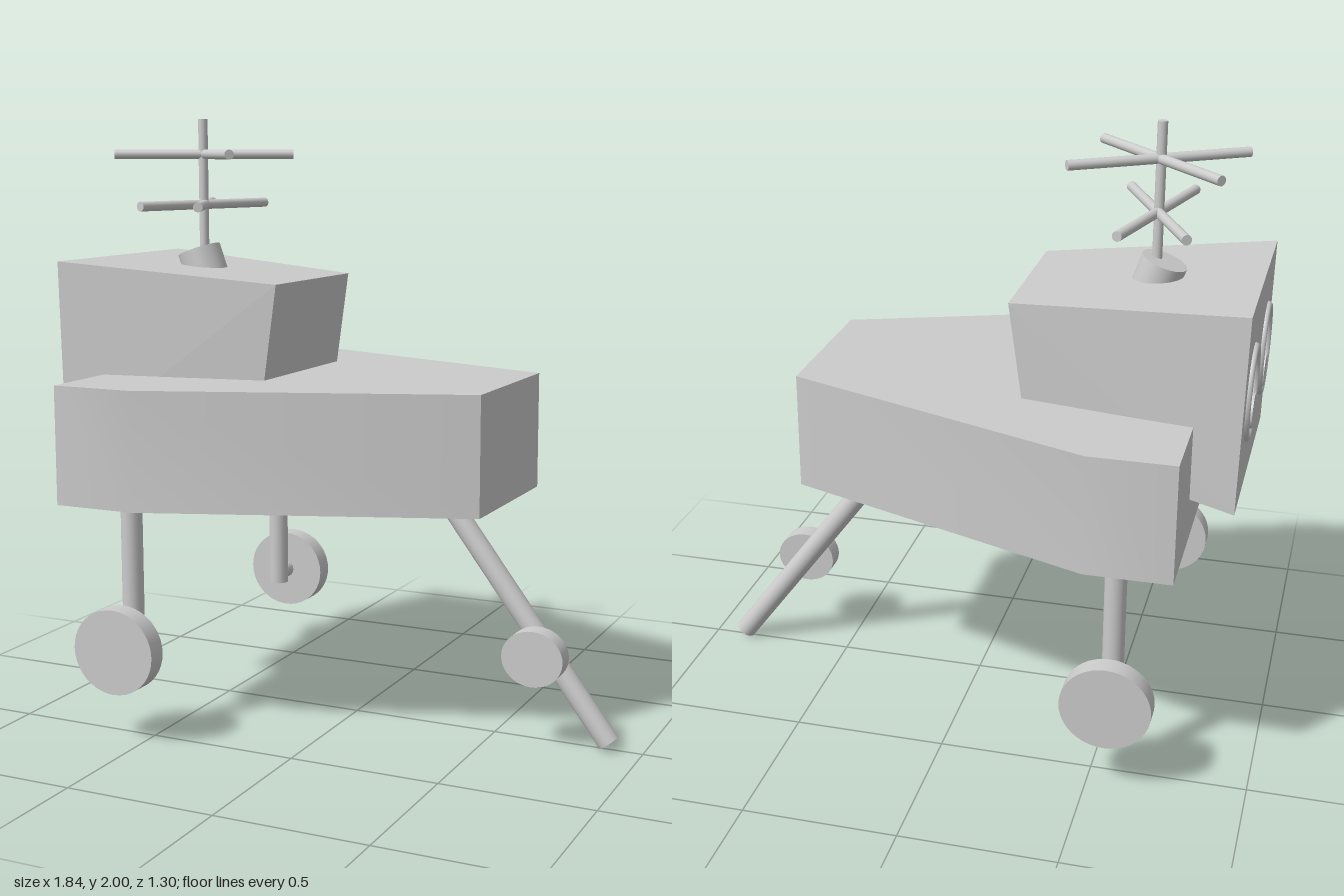
import * as THREE from 'three';
import { toCreasedNormals } from 'three/addons/utils/BufferGeometryUtils.js';
import { ConvexGeometry } from 'three/addons/geometries/ConvexGeometry.js';

const material = new THREE.MeshStandardMaterial({ color: 0xcccccc });
const V = (x, y, z) => new THREE.Vector3(x, y, z);

function add(parent, name, geometry) {
  const mesh = new THREE.Mesh(geometry, material);
  mesh.name = name;
  parent.add(mesh);
  return mesh;
}

// Round bar between two points
function bar(parent, name, a, b, radius, sides = 20) {
  const dir = b.clone().sub(a);
  const mesh = add(parent, name, new THREE.CylinderGeometry(radius, radius, dir.length(), sides));
  mesh.position.copy(a).add(b).multiplyScalar(0.5);
  mesh.quaternion.setFromUnitVectors(V(0, 1, 0), dir.normalize());
  return mesh;
}

// Wheel disc between two z planes, with its axle running in to the leg
function wheel(parent, x, y, zLeg, zInner, zOuter, rx, ry) {
  bar(parent, 'axle', V(x, y, zLeg), V(x, y, zInner + (zOuter - zInner) * 0.3), 0.03, 16);
  const geometry = new THREE.CylinderGeometry(1, 1, Math.abs(zOuter - zInner), 40);
  geometry.rotateX(Math.PI / 2).scale(rx, ry, 1);
  add(parent, 'wheel', geometry).position.set(x, y, (zInner + zOuter) / 2);
}

export function createModel() {
  const model = new THREE.Group();
  model.name = 'walker';

  // Hull: tapered plan, softly shaded along the flanks
  const plan = [[-0.755, -0.648], [-0.48, -0.648], [0.54, -0.275], [0.54, 0.275], [-0.48, 0.648], [-0.755, 0.648]];
  const shape = new THREE.Shape(plan.map(([x, z]) => new THREE.Vector2(x, z)));
  const hull = new THREE.ExtrudeGeometry(shape, { depth: 0.385, bevelEnabled: false });
  hull.rotateX(-Math.PI / 2).translate(0, 0.78, 0);
  add(model, 'hull', toCreasedNormals(hull, 0.5));

  // Cabin: wedge sunk into the hull and overhanging its broad end
  const corners = [];
  for (const s of [-1, 1]) {
    corners.push(V(-0.91, 1.535, s * 0.387), V(-0.895, 0.9, s * 0.387));
    corners.push(V(-0.16, 1.475, s * 0.272), V(-0.225, 1.02, s * 0.272));
  }
  add(model, 'cabin', new ConvexGeometry(corners));

  // Eyes: oval rims with round pupils
  for (const [side, shift] of [[-1, 0], [1, -0.04]]) {
    const eye = new THREE.Group();
    eye.name = 'eye';
    eye.position.set(-0.904, 1.228, side * 0.195);
    eye.rotation.z = 0.024;
    const ring = new THREE.TorusGeometry(1, 0.085, 10, 48);
    ring.rotateY(Math.PI / 2).scale(0.16, 0.145, 0.115);
    add(eye, 'eyeRim', ring);
    const pupil = new THREE.CylinderGeometry(0.055, 0.055, 0.03, 28);
    pupil.rotateZ(Math.PI / 2);
    add(eye, 'pupil', pupil).position.set(0, -0.06, shift);
    model.add(eye);
  }

  // Mast with its tilted socket and two levels of crossed blades
  const socket = add(model, 'mastSocket', new THREE.CylinderGeometry(0.074, 0.074, 0.11, 32));
  socket.position.set(-0.578, 1.51, 0);
  socket.rotation.z = 0.34;
  bar(model, 'mast', V(-0.57, 1.5, 0.008), V(-0.57, 2, 0.008), 0.016);
  const blades = [
    [1.883, -0.825, 0.16, -0.308, -0.147],
    [1.883, -0.78, -0.207, -0.353, 0.218],
    [1.715, -0.695, -0.267, -0.438, 0.277],
    [1.715, -0.645, 0.293, -0.49, -0.283],
  ];
  for (const [y, x1, z1, x2, z2] of blades) bar(model, 'blade', V(x1, y, z1), V(x2, y, z2), 0.016, 16);

  // Pair of wheeled legs
  for (const s of [1, -1]) {
    const x = s > 0 ? -0.57 : -0.561;
    const leg = new THREE.Group();
    leg.name = 'sideLeg';
    bar(leg, 'legPost', V(x, 0.275, s * 0.503), V(x, 0.85, s * 0.503), 0.035);
    wheel(leg, x, 0.31, s * 0.503, s * 0.565, s * 0.633, 0.145, 0.14);
    model.add(leg);
  }

  // Slanted leg at the narrow end with a small wheel
  const strut = new THREE.Group();
  strut.name = 'slantedLeg';
  bar(strut, 'strut', V(0.337, 0.755, 0), V(0.888, 0.023, 0), 0.036);
  wheel(strut, 0.67, 0.31, 0, 0.073, 0.139, 0.102, 0.091);
  model.add(strut);

  return model;
}
